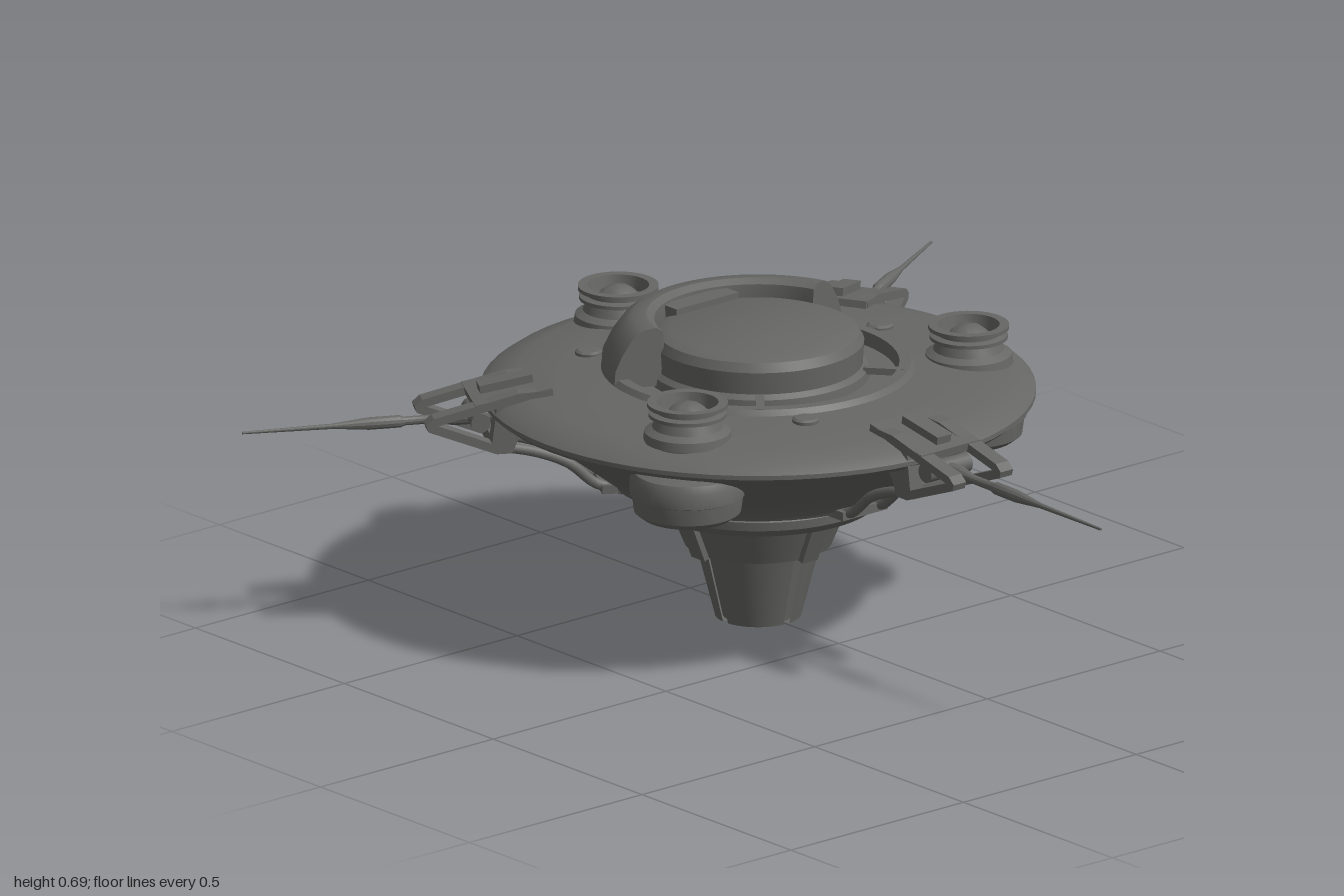
import * as THREE from 'three';
import { toCreasedNormals } from 'three/addons/utils/BufferGeometryUtils.js';

const hullGrey = new THREE.MeshStandardMaterial({ color: 0x666664, side: THREE.DoubleSide });
hullGrey.name = 'hull grey';

function add(parent, name, geometry, x = 0, y = 0, z = 0) {
  const mesh = new THREE.Mesh(geometry, hullGrey);
  mesh.name = name;
  mesh.position.set(x, y, z);
  parent.add(mesh);
  return mesh;
}

// Turned part from [radius, height] pairs, listed from the bottom up the outside
function turned(points, segments = 64, start = 0, length = Math.PI * 2) {
  const profile = points.map(([r, y]) => new THREE.Vector2(r, y));
  return toCreasedNormals(new THREE.LatheGeometry(profile, segments, start, length), 0.5);
}

function polygon(points) {
  return new THREE.Shape(points.map(([x, y]) => new THREE.Vector2(x, y)));
}

function ringGroup(parent, name, degrees) {
  const group = new THREE.Group();
  group.name = name;
  group.rotation.y = THREE.MathUtils.degToRad(degrees);
  parent.add(group);
  return group;
}

function buildHull(ship) {
  add(ship, 'saucer', turned([
    [0.27, 0.32], [0.33, 0.325], [0.335, 0.335], [0.40, 0.385], [0.48, 0.445], [0.55, 0.487],
    [0.595, 0.503], [0.61, 0.515], [0.61, 0.525], [0.585, 0.543], [0.53, 0.558], [0.43, 0.568],
    [0.345, 0.573], [0.335, 0.585], [0.31, 0.585], [0.305, 0.555], [0.2, 0.555],
  ]));
  add(ship, 'dome', turned([
    [0.245, 0.55], [0.242, 0.575], [0.23, 0.585], [0.233, 0.635], [0.222, 0.655], [0.195, 0.666], [0, 0.667],
  ]));

  // Crescent shroud around the -x half of the dome
  const section = [[0.235, 0.56], [0.345, 0.565], [0.342, 0.605], [0.325, 0.64], [0.3, 0.675],
    [0.275, 0.692], [0.245, 0.695], [0.228, 0.685], [0.225, 0.65], [0.235, 0.56]];
  const half = THREE.MathUtils.degToRad(73);
  const middle = Math.PI * 1.5;
  add(ship, 'shroud', turned(section, 32, middle - half, half * 2));
  for (const phi of [middle - half, middle + half]) {
    add(ship, 'shroudEnd', new THREE.ShapeGeometry(polygon(section))).rotation.y = phi - Math.PI / 2;
  }
  add(ship, 'shroudFoot', new THREE.BoxGeometry(0.06, 0.045, 0.16), -0.325, 0.59, 0);
  add(ship, 'shroudHatch', new THREE.BoxGeometry(0.05, 0.04, 0.18), -0.195, 0.66, 0);

  // Radial braces and low studs
  for (const angle of [40, -40]) {
    const brace = ringGroup(ship, 'brace', angle);
    add(brace, 'braceBar', new THREE.BoxGeometry(0.1, 0.015, 0.02), 0.285, 0.578, 0);
  }
  for (const angle of [-25, -145, -265]) {
    const stud = ringGroup(ship, 'studMount', angle);
    add(stud, 'stud', turned([[0.03, 0.56], [0.03, 0.576], [0.024, 0.58], [0, 0.581]], 20), 0.383, 0, 0);
  }
}

function buildLowerCone(ship) {
  add(ship, 'collar', turned([
    [0.19, 0.268], [0.265, 0.268], [0.28, 0.285], [0.282, 0.305], [0.27, 0.315], [0.275, 0.325], [0.27, 0.335],
  ]));
  add(ship, 'upperCone', turned([[0.12, 0.17], [0.163, 0.17], [0.205, 0.272]]));
  add(ship, 'tipCore', turned([[0, 0.004], [0.078, 0.004], [0.115, 0.18]], 32));

  // Four tip panels with slots between, and a rib above each slot
  const panel = [[0.078, 0], [0.095, 0], [0.139, 0.172], [0.115, 0.172], [0.078, 0]];
  const gap = 0.18;
  for (let i = 0; i < 4; i++) {
    add(ship, 'tipPanel', turned(panel, 14, i * Math.PI / 2 + gap / 2, Math.PI / 2 - gap));
    const mount = ringGroup(ship, 'ribMount', i * 90);
    add(mount, 'rib', new THREE.BoxGeometry(0.025, 0.115, 0.045), 0.184, 0.222, 0).rotation.z = -0.39;
  }
}

function buildPod(ship, degrees) {
  const pod = ringGroup(ship, 'thrusterPod', degrees);
  add(pod, 'podBody', turned([
    [0, 0.392], [0.025, 0.395], [0.045, 0.41], [0.05, 0.43], [0.075, 0.43], [0.08, 0.378], [0.1, 0.378],
    [0.118, 0.392], [0.123, 0.43], [0.127, 0.432], [0.127, 0.465], [0.118, 0.483], [0.09, 0.492], [0.09, 0.56],
  ], 40), 0.47, 0, 0);
  add(pod, 'podCap', turned([
    [0.098, 0.555], [0.095, 0.575], [0.078, 0.585], [0.07, 0.605], [0.086, 0.61], [0.086, 0.618],
    [0.072, 0.622], [0.072, 0.628], [0.089, 0.632], [0.089, 0.641], [0.068, 0.641], [0.062, 0.61],
    [0.046, 0.61], [0.04, 0.625], [0.025, 0.636], [0, 0.64],
  ], 40), 0.47, 0, 0);
}

function buildArm(ship, degrees) {
  const arm = ringGroup(ship, 'antennaArm', degrees);

  // Bracket: sloping top plate with two looped prongs
  add(arm, 'bracketPlate', new THREE.BoxGeometry(0.175, 0.018, 0.17), 0.56, 0.556, 0).rotation.z = -0.17;
  const side = polygon([[0.48, 0.575], [0.55, 0.572], [0.74, 0.525], [0.757, 0.51], [0.752, 0.495],
    [0.6, 0.435], [0.565, 0.435], [0.55, 0.47], [0.5, 0.53]]);
  side.holes.push(polygon([[0.6, 0.54], [0.61, 0.46], [0.73, 0.508]]));
  for (const z of [-0.086, 0.05]) {
    add(arm, 'prong', new THREE.ExtrudeGeometry(side, { depth: 0.036, bevelEnabled: false }), 0, 0, z);
  }
  add(arm, 'crossBar', new THREE.BoxGeometry(0.04, 0.03, 0.14), 0.585, 0.45, 0);
  add(arm, 'hinge', new THREE.CylinderGeometry(0.022, 0.022, 0.12, 16), 0.63, 0.5, 0).rotation.x = Math.PI / 2;
  add(arm, 'hingeBlock', new THREE.BoxGeometry(0.12, 0.025, 0.04), 0.565, 0.57, 0).rotation.z = -0.17;

  // Twin curved struts running down to the hull
  for (const z of [-0.045, 0.045]) {
    const path = new THREE.CatmullRomCurve3([[0.59, 0.44], [0.5, 0.42], [0.43, 0.39], [0.37, 0.34], [0.31, 0.322]]
      .map(([x, y]) => new THREE.Vector3(x, y, z)));
    add(arm, 'strut', new THREE.TubeGeometry(path, 20, 0.012, 8));
  }
  add(arm, 'strutFoot', new THREE.BoxGeometry(0.05, 0.02, 0.13), 0.335, 0.33, 0);

  // Tapering antenna, turned along its length
  const rod = add(arm, 'antenna', turned([
    [0, 0.58], [0.018, 0.58], [0.018, 0.68], [0.01, 0.72], [0.01, 0.79], [0.014, 0.8], [0.014, 0.87],
    [0.006, 0.95], [0.003, 1.152], [0, 1.152],
  ], 12), 0, 0.507, 0);
  rod.rotation.z = -Math.PI / 2 - 0.014;
}

export function createModel() {
  const model = new THREE.Group();
  model.name = 'saucerStation';
  const ship = new THREE.Group();
  ship.name = 'ship';
  ship.position.x = -0.27;
  model.add(ship);

  buildHull(ship);
  buildLowerCone(ship);
  for (const angle of [60, 180, 300]) buildPod(ship, angle);
  for (const angle of [0, 120, 240]) buildArm(ship, angle);
  return model;
}
